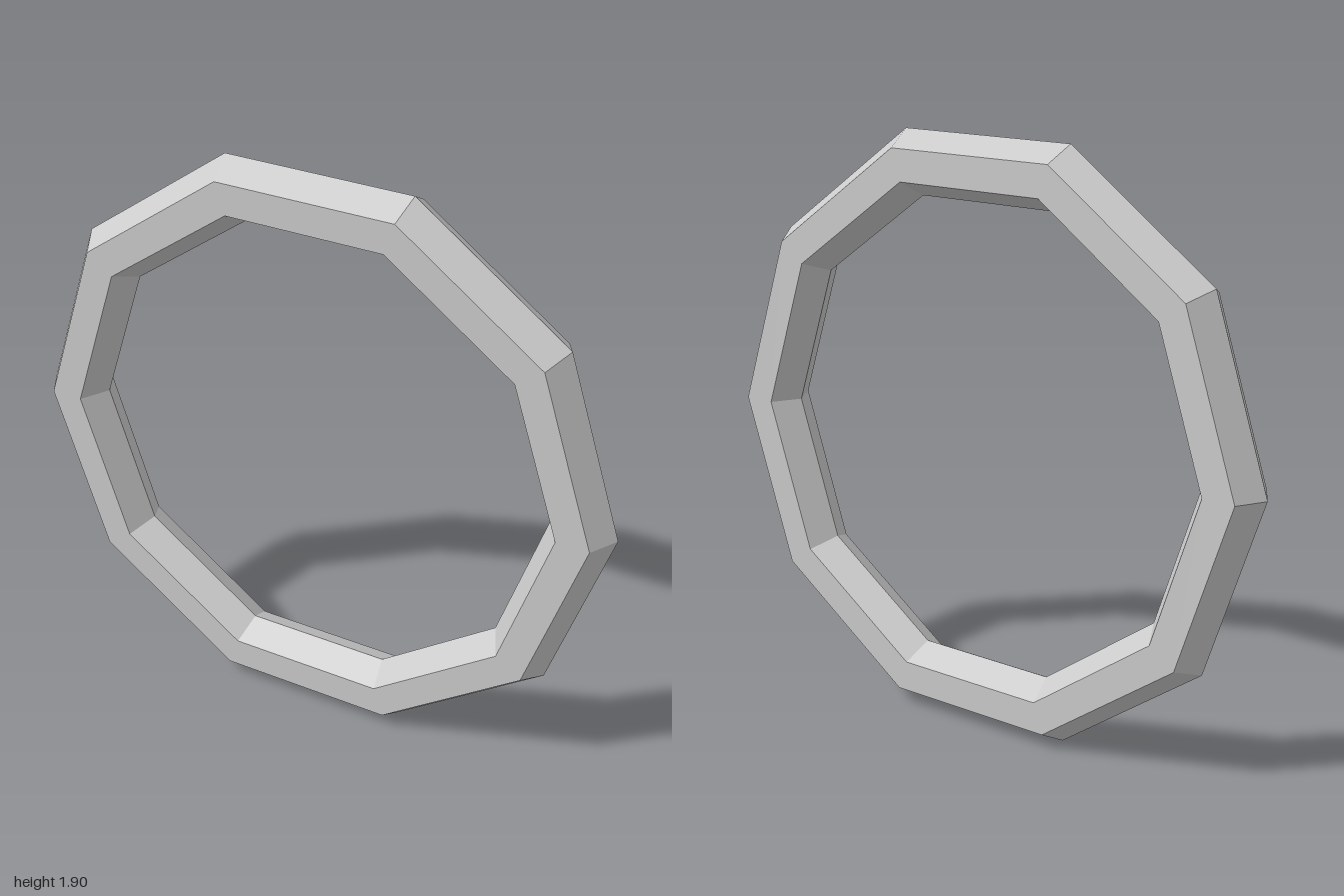
import * as THREE from 'three';

export function createModel() {
  const group = new THREE.Group();
  const material = new THREE.MeshStandardMaterial({ color: 0xcccccc, flatShading: true });

  // Ten-sided ring with a hexagonal section, standing on one flat side
  const tube = 0.107;
  const sides = 10;
  const ring = new THREE.Mesh(new THREE.TorusGeometry(1 - tube, tube, 6, sides), material);
  ring.name = 'ring';
  ring.position.y = Math.cos(Math.PI / sides);
  group.add(ring);

  return group;
}
